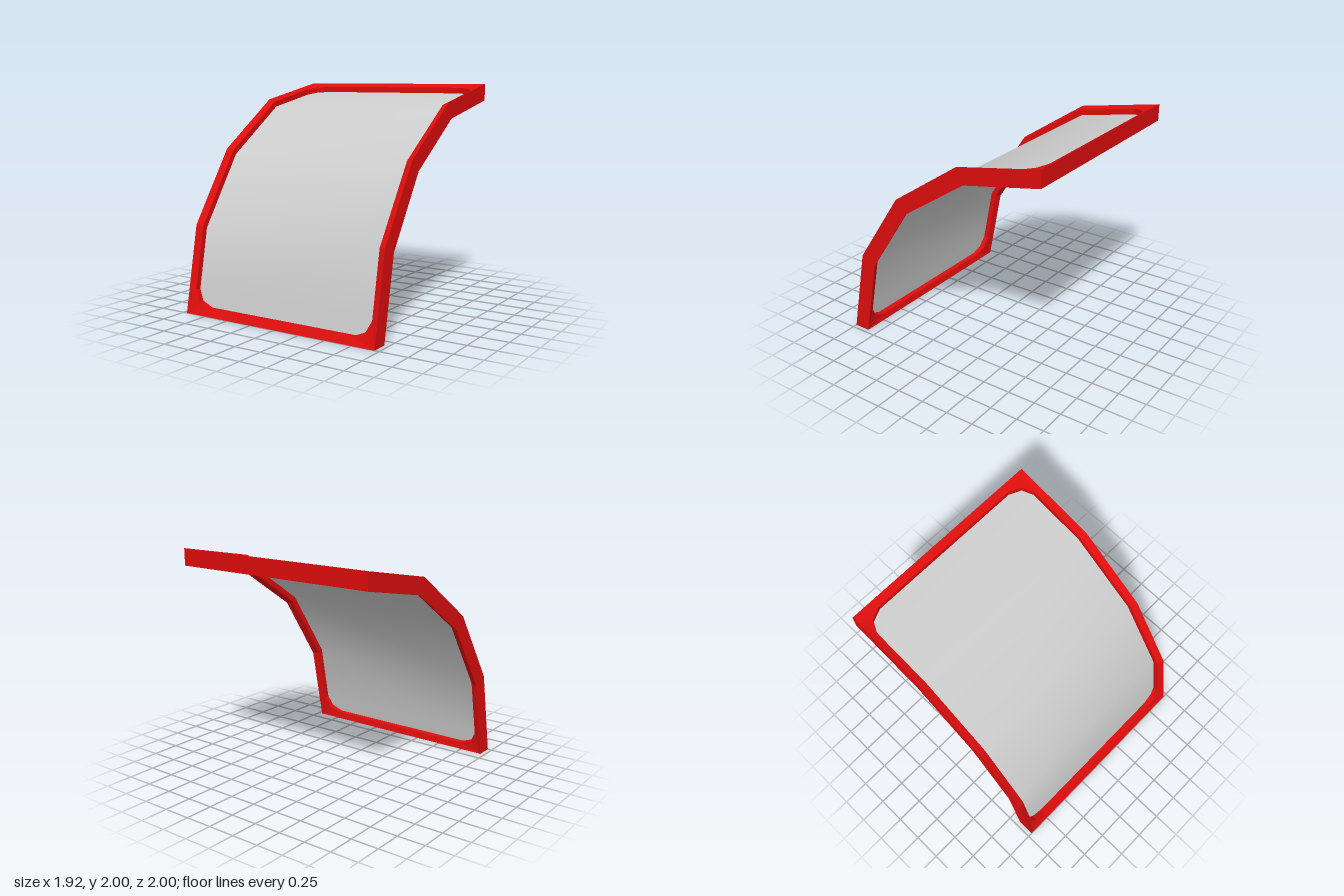
import * as THREE from 'three';

// Side profile as [z, y]: outer and inner edge of the bent frame, bottom to top
const OUTER = [[1, 0], [0.85, 0.77], [0.415, 1.415], [-0.23, 1.85], [-1, 2]];
const INNER = [[0.85, 0], [0.71, 0.71], [0.31, 1.31], [-0.29, 1.71], [-1, 1.85]];

// Right half of the window opening as [x, t], t running 0..4 along the bends
const OPENING = [
  [0.74, 0.084], [0.85, 0.145], [0.9, 0.275],
  [0.9, 1], [0.9, 2], [0.9, 3],
  [0.9, 3.725], [0.85, 3.855], [0.74, 3.916],
];
// Matching points on the outer rim
const RIM = [0, 0, 0, 1, 2, 3, 4, 4, 4].map((t) => [0.96, t]);

// Point at x, position t along the profile, depth f (0 = outer face, 1 = inner face)
function place([x, t], f) {
  const i = Math.min(Math.floor(t), 3);
  const k = t - i;
  const at = (p, a) => THREE.MathUtils.lerp(p[i][a], p[i + 1][a], k);
  const mix = (a) => THREE.MathUtils.lerp(at(OUTER, a), at(INNER, a), f);
  return new THREE.Vector3(x, mix(1), mix(0));
}

// Full loop: up the right side, down the left
const loop = (half, f) =>
  [...half, ...half.map(([x, t]) => [-x, t]).reverse()].map((p) => place(p, f));

// Frame: four closed rings joined into a solid, with faces sloping to the opening
function frameGeometry() {
  const rings = [loop(RIM, 0), loop(OPENING, 0.15), loop(OPENING, 0.85), loop(RIM, 1)];
  const points = [];
  const tri = (a, b, c) => {
    if (new THREE.Triangle(a, b, c).getArea() > 1e-7) points.push(a, b, c);
  };
  rings.forEach((ring, r) => {
    const next = rings[(r + 1) % rings.length];
    ring.forEach((a, i) => {
      const j = (i + 1) % ring.length;
      tri(a, ring[j], next[j]);
      tri(a, next[j], next[i]);
    });
  });
  const g = new THREE.BufferGeometry().setFromPoints(points);
  g.computeVertexNormals();
  return g;
}

// Panel: smooth bent sheet filling the opening at mid depth
function panelGeometry() {
  const points = [];
  const index = [];
  OPENING.forEach(([x, t], i) => {
    points.push(place([-x, t], 0.5), place([x, t], 0.5));
    if (i > 0) {
      const n = i * 2;
      index.push(n - 2, n - 1, n + 1, n - 2, n + 1, n);
    }
  });
  const g = new THREE.BufferGeometry().setFromPoints(points);
  g.setIndex(index);
  g.computeVertexNormals();
  return g;
}

export function createModel() {
  const group = new THREE.Group();
  group.name = 'curvedWindow';

  const frame = new THREE.Mesh(
    frameGeometry(),
    new THREE.MeshStandardMaterial({ color: 0xdd0d0d, flatShading: true }),
  );
  frame.name = 'frame';

  const panel = new THREE.Mesh(
    panelGeometry(),
    new THREE.MeshStandardMaterial({ color: 0xcccccc, side: THREE.DoubleSide }),
  );
  panel.name = 'windowPanel';

  group.add(frame, panel);
  return group;
}
